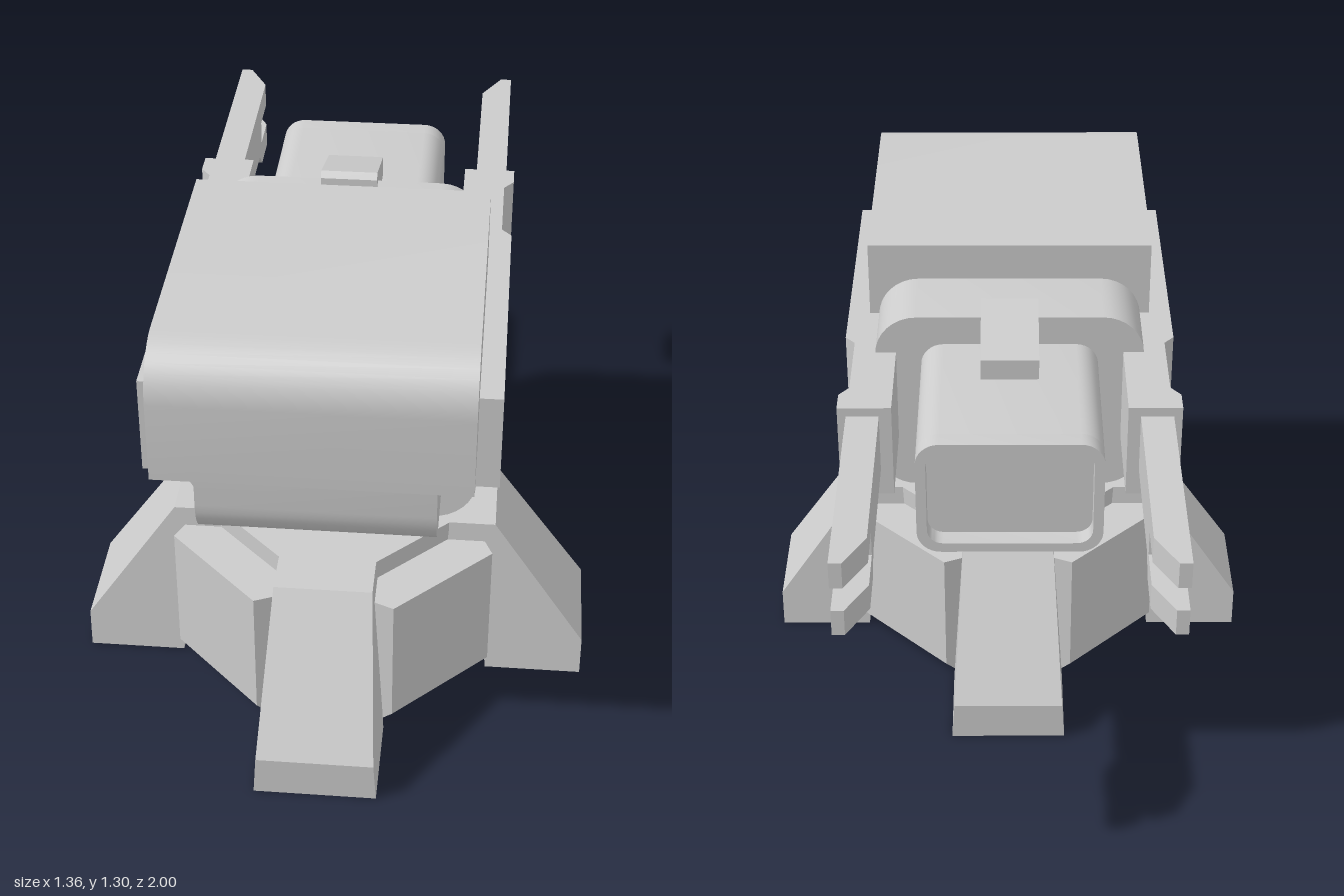
import * as THREE from 'three';
import { toCreasedNormals } from 'three/addons/utils/BufferGeometryUtils.js';

const material = new THREE.MeshStandardMaterial({ color: 0xcccccc });

// Closed outline from [x, y, cornerRadius] points
function outline(points, Type = THREE.Shape) {
  const shape = new Type();
  const n = points.length;
  points.forEach(([x, y, r = 0], i) => {
    const corner = new THREE.Vector2(x, y);
    const toward = (p, d) => new THREE.Vector2(p[0], p[1]).sub(corner).setLength(d).add(corner);
    const prev = points[(i + n - 1) % n], next = points[(i + 1) % n];
    const a = r ? toward(prev, r) : corner, b = r ? toward(next, r) : corner;
    if (i === 0) shape.moveTo(a.x, a.y); else shape.lineTo(a.x, a.y);
    if (r) {
      const c = toward(prev, r * 0.45), d = toward(next, r * 0.45);
      shape.bezierCurveTo(c.x, c.y, d.x, d.y, b.x, b.y);
    }
  });
  shape.closePath();
  return shape;
}

const rect = (x0, x1, y0, y1, r = 0) => [[x0, y0, r], [x1, y0, r], [x1, y1, r], [x0, y1, r]];

const extrude = (shape, depth) =>
  new THREE.ExtrudeGeometry(shape, { depth, bevelEnabled: false, curveSegments: 8 });

// (x, y) outline running from z0 to z1
const alongZ = (shape, z0, z1) => extrude(shape, z1 - z0).translate(0, 0, z0);
// (z, y) outline running from x0 to x1
const alongX = (points, x0, x1) => extrude(outline(points), x1 - x0).rotateY(-Math.PI / 2).translate(x1, 0, 0);
// (x, z) outline running from y0 to y1
const alongY = (points, y0, y1) => extrude(outline(points), y1 - y0).rotateX(Math.PI / 2).translate(0, y1, 0);

function add(parent, name, geometry) {
  const mesh = new THREE.Mesh(toCreasedNormals(geometry, 0.6), material);
  mesh.name = name;
  parent.add(mesh);
  return mesh;
}

// (radius, y) outline pointing to +z, its half width set by a rule
function taperedX(points, halfWidth) {
  const geometry = alongX(points, -1, 1);
  const p = geometry.attributes.position;
  for (let i = 0; i < p.count; i++) p.setX(i, p.getX(i) * halfWidth(p.getY(i), p.getZ(i)));
  geometry.computeVertexNormals();
  return geometry;
}

function createBase() {
  const base = new THREE.Group();
  base.name = 'base';
  base.position.z = 0.32;

  // Four sloping legs with bevelled panels on the diagonals; hollow underneath
  const legProfile = [[0.2, 0.475], [0.2, 0.42], [0.38, 0.4], [0.42, 0], [0.68, 0], [0.68, 0.11], [0.43, 0.475]];
  const panelProfile = [[0.2, 0.42], [0.428, 0.42], [0.428, 0.055], [0.375, 0], [0.34, 0], [0.34, 0.36], [0.2, 0.36]];
  for (let i = 0; i < 4; i++) {
    const leg = add(base, 'leg', taperedX(legProfile, (y) => 0.158 - 0.066 * y));
    leg.rotation.y = (i * Math.PI) / 2;
    const panel = add(base, 'basePanel', taperedX(panelProfile, (y, d) => 0.173 + (0.428 - d) * 0.4));
    panel.rotation.y = ((i + 0.5) * Math.PI) / 2;
  }

  // Eight-sided roof plate and the swivel neck
  const a = 0.307, b = 0.128;
  const octagon = [[a, -b], [a, b], [b, a], [-b, a], [-a, b], [-a, -b], [-b, -a], [b, -a]];
  add(base, 'roofPlate', alongY(octagon, 0.4, 0.475));
  add(base, 'neck', new THREE.CylinderGeometry(0.125, 0.125, 0.1, 32).translate(0, 0.505, 0));
  return base;
}

function createHead() {
  const head = new THREE.Group();
  head.name = 'head';
  head.position.x = -0.004;

  // Cradle with rounded lower corners
  add(head, 'cradle', alongZ(outline([
    [-0.379, 0.535, 0.115], [0.379, 0.535, 0.115], [0.379, 1.2], [-0.379, 1.2]]), 0.126, 0.5));

  // Upper housing and the narrower chin below it
  add(head, 'housing', alongX([
    [0.125, 0.96], [0.96, 0.96], [0.96, 1.3, 0.13], [0.125, 1.3]], -0.38, 0.38));
  add(head, 'chin', alongX([
    [0.2, 0.7], [0.87, 0.7, 0.12], [0.87, 1.0], [0.2, 1.0]], -0.292, 0.292));

  // Rear collar and barrel with a recessed end
  add(head, 'collar', alongZ(outline(rect(-0.355, 0.355, 0.72, 1.2, 0.11)), -0.09, 0.15));
  const barrel = rect(-0.234, 0.234, 0.8, 1.12, 0.06);
  add(head, 'barrel', alongZ(outline(barrel), -0.53, -0.05));
  const rim = outline(barrel);
  rim.holes.push(outline(rect(-0.208, 0.208, 0.826, 1.094, 0.04), THREE.Path));
  add(head, 'barrelRim', alongZ(rim, -0.58, -0.53));

  // Sloping sight block
  add(head, 'sight', alongX([
    [-0.04, 1.1], [-0.045, 1.225], [-0.06, 1.24], [-0.27, 1.175], [-0.27, 1.1]], -0.075, 0.075));
  return head;
}

function createArm(side) {
  const arm = new THREE.Group();
  arm.name = side > 0 ? 'leftArm' : 'rightArm';
  const mirror = (points) => points.map(([x, z]) => [x * side, z]);

  // Long side rail with a shallow waist
  add(arm, 'rail', alongY(mirror([
    [0.3, 0.755], [0.438, 0.755], [0.438, -0.01], [0.412, -0.04],
    [0.412, -0.27], [0.438, -0.305], [0.438, -0.37], [0.3, -0.37]]), 0.835, 1.095));

  // Blade with a notched end
  const [x0, x1] = side > 0 ? [0.332, 0.416] : [-0.416, -0.332];
  add(arm, 'blade', alongX([
    [-0.36, 0.91], [-0.36, 1.07], [-0.9, 1.07], [-0.9, 1.0], [-0.78, 1.0],
    [-0.78, 0.935], [-0.9, 0.935], [-0.9, 0.865], [-0.78, 0.865], [-0.73, 0.91]], x0, x1));

  // Two prongs tapering on the inner side
  const prong = mirror([[0.332, -0.9], [0.416, -0.9], [0.416, -1], [0.385, -1]]);
  for (const [y0, y1] of [[1.0, 1.07], [0.865, 0.935]]) add(arm, 'prong', alongY(prong, y0, y1));
  return arm;
}

export function createModel() {
  const model = new THREE.Group();
  model.name = 'turret';
  const head = createHead();
  head.add(createArm(1), createArm(-1));
  model.add(createBase(), head);
  return model;
}
